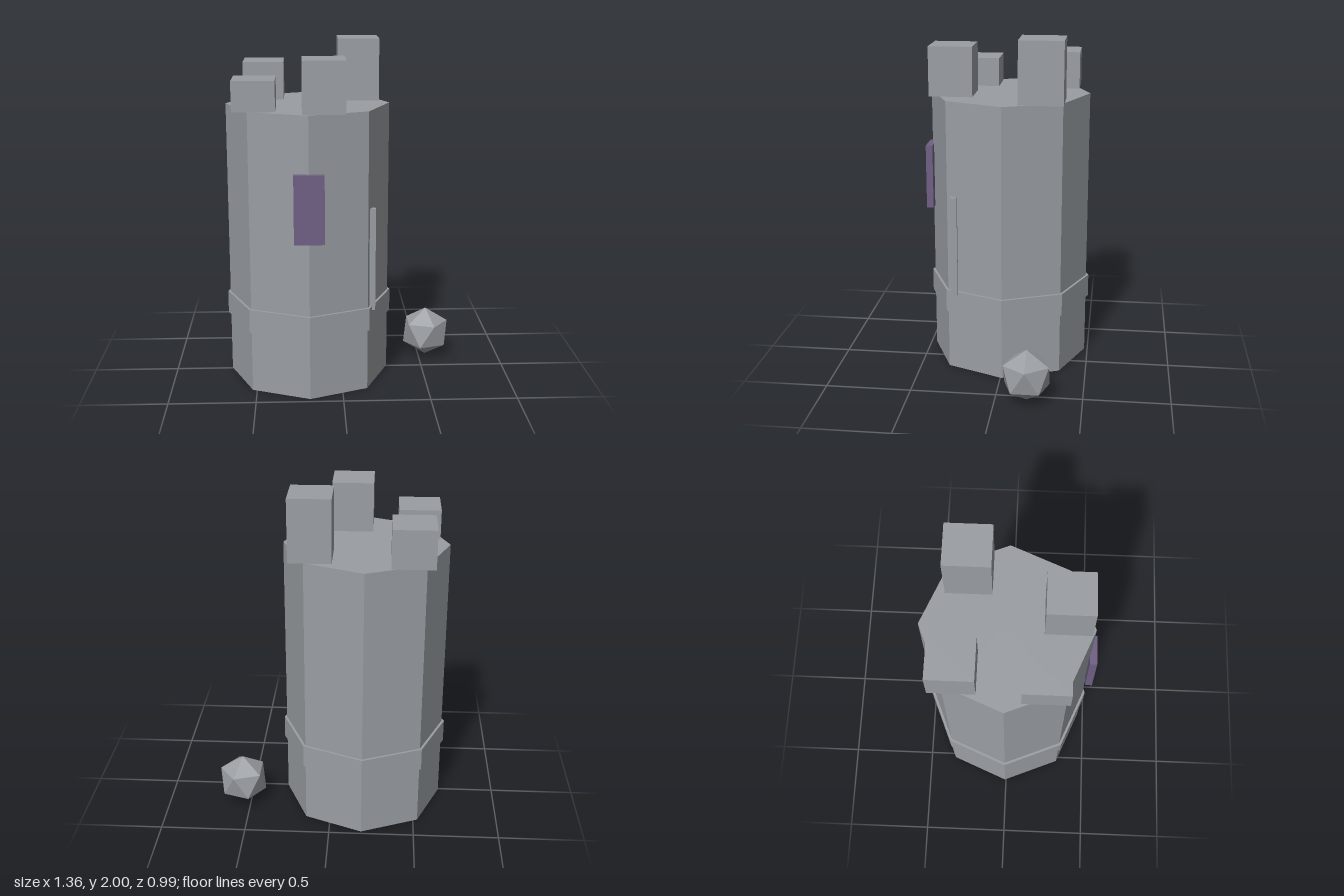
import * as THREE from 'three';

const stone = new THREE.MeshStandardMaterial({ color: 0x9a9ea3, flatShading: true });
stone.name = 'stone';
const purple = new THREE.MeshStandardMaterial({ color: 0x706085, flatShading: true });
purple.name = 'purple';

export function createModel() {
  const group = new THREE.Group();
  const add = (name, geometry, material, x, y, z) => {
    const mesh = new THREE.Mesh(geometry, material);
    mesh.name = name;
    mesh.position.set(x, y, z);
    group.add(mesh);
  };
  // box given by its lower and upper corners
  const addBox = (name, material, [x0, y0, z0], [x1, y1, z1]) =>
    add(name, new THREE.BoxGeometry(x1 - x0, y1 - y0, z1 - z0), material,
      (x0 + x1) / 2, (y0 + y1) / 2, (z0 + z1) / 2);

  // eight-sided tower with a raised band
  const cx = -0.19, cz = -0.007, top = 1.64;
  add('towerBody', new THREE.CylinderGeometry(0.474, 0.474, top, 8), stone, cx, top / 2, cz);
  add('band', new THREE.CylinderGeometry(0.489, 0.489, 0.136, 8), stone, cx, 0.432, cz);

  // uneven battlements: centre x, centre z, top height
  const merlons = [
    [-0.45, -0.283, 1.86],
    [0.11, -0.221, 2.0],
    [-0.49, 0.21, 1.81],
    [-0.104, 0.32, 1.93],
  ];
  merlons.forEach(([x, z, h], i) =>
    addBox(`merlon${i + 1}`, stone, [x - 0.12, top, z - 0.128], [x + 0.12, h, z + 0.128]));

  // window on the front corner and thin strip beside it
  addBox('window', purple, [-0.274, 0.928, 0.455], [-0.104, 1.317, 0.496]);
  addBox('wallStrip', stone, [0.15, 0.478, 0.265], [0.19, 1.08, 0.304]);

  // loose boulder, turned so that one corner points straight up
  const boulder = new THREE.IcosahedronGeometry(0.1537, 0);
  boulder.rotateZ(-Math.atan(2 / (1 + Math.sqrt(5))));
  add('boulder', boulder, stone, 0.543, 0.158, -0.18);

  return group;
}
